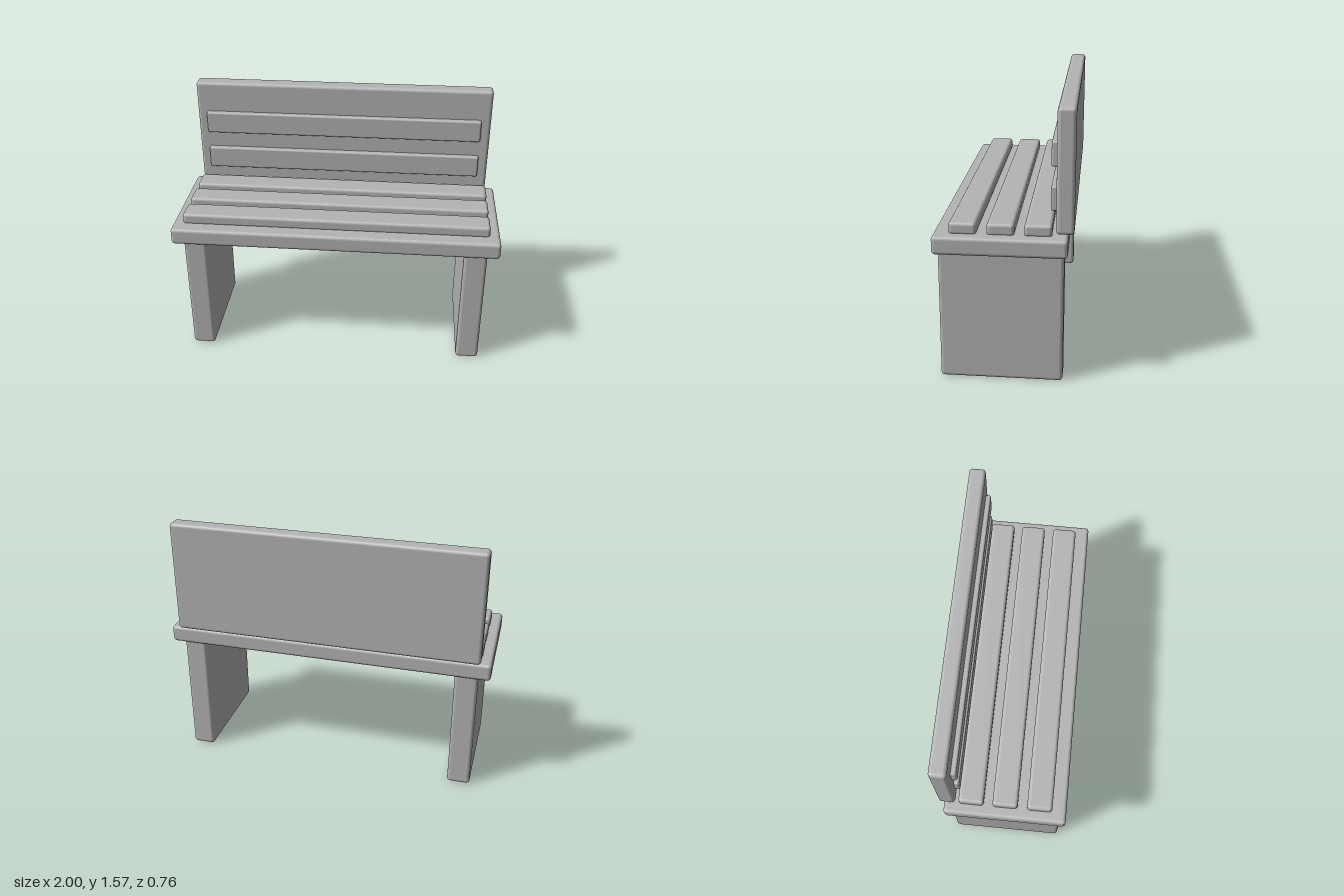
import * as THREE from 'three';
import { RoundedBoxGeometry } from 'three/addons/geometries/RoundedBoxGeometry.js';

export function createModel() {
  const bench = new THREE.Group();
  bench.name = 'bench';
  const grey = new THREE.MeshStandardMaterial({ color: 0xb4b4b4 });
  grey.name = 'grey';

  // Rounded board given by its extents along x, y and z
  function board(name, [x0, x1], [y0, y1], [z0, z1], radius) {
    const geometry = new RoundedBoxGeometry(x1 - x0, y1 - y0, z1 - z0, 4, radius);
    const mesh = new THREE.Mesh(geometry, grey);
    mesh.name = name;
    mesh.position.set((x0 + x1) / 2, (y0 + y1) / 2, (z0 + z1) / 2);
    bench.add(mesh);
  }

  // Seat board with three raised slats
  board('seat', [-1, 1], [0.767, 0.872], [-0.35, 0.382], 0.021);
  [0.221, 0.015, -0.188].forEach((z, i) =>
    board('seatSlat' + (i + 1), [-0.938, 0.938], [0.862, 0.934], [z - 0.075, z + 0.075], 0.02));

  // Upright back panel with two slats on its front
  board('backrest', [-0.938, 0.938], [0.881, 1.57], [-0.381, -0.282], 0.021);
  [1.064, 1.309].forEach((y, i) =>
    board('backSlat' + (i + 1), [-0.877, 0.877], [y - 0.07, y + 0.07], [-0.305, -0.251], 0.012));

  // Slab legs at both ends
  board('leftLeg', [0.788, 0.928], [0, 0.785], [-0.33, 0.361], 0.021);
  board('rightLeg', [-0.928, -0.788], [0, 0.785], [-0.33, 0.361], 0.021);

  return bench;
}
